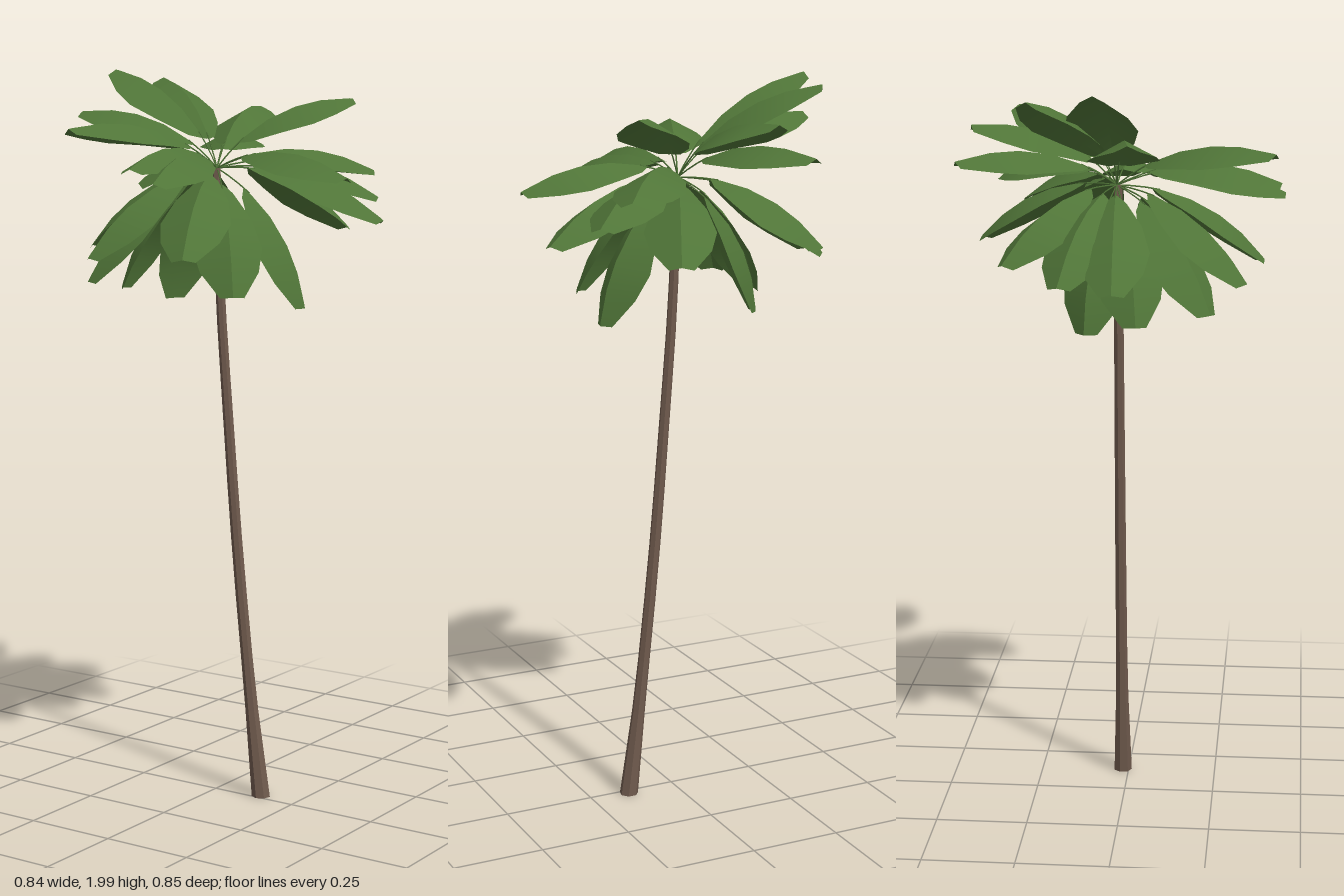
import * as THREE from 'three';

const leafGreen = new THREE.MeshStandardMaterial({ color: 0x507538, side: THREE.DoubleSide });
leafGreen.name = 'leafGreen';
const barkBrown = new THREE.MeshStandardMaterial({ color: 0x6f5a4d, flatShading: true });
barkBrown.name = 'barkBrown';

const crown = new THREE.Vector3(-0.01, 1.73, -0.02);

// Tip of every frond: x, y, z
const tips = [
  [-0.37, 1.995, -0.05], [-0.33, 1.975, -0.22], [0.24, 1.915, -0.31], [-0.11, 1.895, -0.39],
  [-0.20, 1.81, -0.42], [-0.42, 1.88, 0.04], [-0.185, 1.835, 0.40], [0.02, 1.735, 0.415],
  [0.10, 1.70, 0.425], [0.42, 1.71, 0.02], [0.28, 1.72, -0.36], [0.335, 1.65, -0.29],
  [0.42, 1.595, -0.17], [0.17, 1.56, -0.41], [-0.30, 1.56, -0.29], [-0.385, 1.52, -0.14],
  [-0.42, 1.51, 0.0], [-0.25, 1.43, 0.24], [0.15, 1.51, 0.37], [0.19, 1.405, 0.20],
  [0.24, 1.36, -0.07], [-0.21, 1.365, -0.09], [-0.18, 1.50, 0.33], [-0.28, 1.40, 0.05],
];

// Half-outline of a blade: fraction of length, half width
const outline = [[0.2, 0.005], [0.25, 0.033], [0.43, 0.08], [0.63, 0.106], [0.8, 0.088], [0.98, 0.036], [1, 0]];
const fold = 0.5;

// Arched midrib along +z
const ribPoint = (t, length) => new THREE.Vector3(0, 0.22 * t * (1 - t), t * length);

// Blade folded down on both sides of the midrib; each half is smooth
function bladeGeometry(length) {
  const pos = [];
  const index = [];
  for (const side of [-1, 1]) {
    const start = pos.length / 3;
    outline.forEach(([t, w], i) => {
      const rib = ribPoint(t, length);
      pos.push(rib.x, rib.y, rib.z);
      pos.push(side * w * Math.cos(fold), rib.y - w * Math.sin(fold), rib.z);
      if (i === 0) return;
      const a = start + 2 * (i - 1);
      const quad = [[a, a + 2, a + 1], [a + 1, a + 2, a + 3]];
      quad.forEach(([p, q, r]) => index.push(...(side > 0 ? [p, q, r] : [p, r, q])));
    });
  }
  const g = new THREE.BufferGeometry();
  g.setAttribute('position', new THREE.Float32BufferAttribute(pos, 3));
  g.setIndex(index);
  g.computeVertexNormals();
  return g;
}

function makeFrond(tip) {
  const frond = new THREE.Group();
  frond.name = 'frond';
  const target = new THREE.Vector3(...tip);
  const length = crown.distanceTo(target);
  const blade = new THREE.Mesh(bladeGeometry(length), leafGreen);
  blade.name = 'blade';
  // Thin stalk from the crown to the blade
  const path = new THREE.CatmullRomCurve3([0, 0.12, 0.24].map((t) => ribPoint(t, length)));
  const stalk = new THREE.Mesh(new THREE.TubeGeometry(path, 3, 0.002, 4), leafGreen);
  stalk.name = 'stalk';
  frond.add(blade, stalk);
  frond.position.copy(crown);
  frond.lookAt(target);
  return frond;
}

// Leaning trunk: a cylinder bent along a curve and flared at the foot
function makeTrunk() {
  const curve = new THREE.CatmullRomCurve3([
    [0.14, 0.005], [0.103, 0.3], [0.06, 0.7], [0.03, 1.05], [0.003, 1.4], [-0.01, 1.73],
  ].map(([x, y]) => new THREE.Vector3(x, y, -0.017)));
  const g = new THREE.CylinderGeometry(1, 1, 1, 7, 12);
  const p = g.attributes.position;
  for (let i = 0; i < p.count; i++) {
    const t = p.getY(i) + 0.5;
    const c = curve.getPoint(t);
    const r = 0.018 - 0.006 * t + 0.008 * Math.max(0, 1 - t / 0.2);
    p.setXYZ(i, c.x + p.getX(i) * r, c.y, c.z + p.getZ(i) * r);
  }
  g.computeVertexNormals();
  const trunk = new THREE.Mesh(g, barkBrown);
  trunk.name = 'trunk';
  return trunk;
}

export function createModel() {
  const tree = new THREE.Group();
  tree.name = 'palmTree';
  const fronds = new THREE.Group();
  fronds.name = 'fronds';
  tips.forEach((tip) => fronds.add(makeFrond(tip)));
  tree.add(makeTrunk(), fronds);
  return tree;
}
